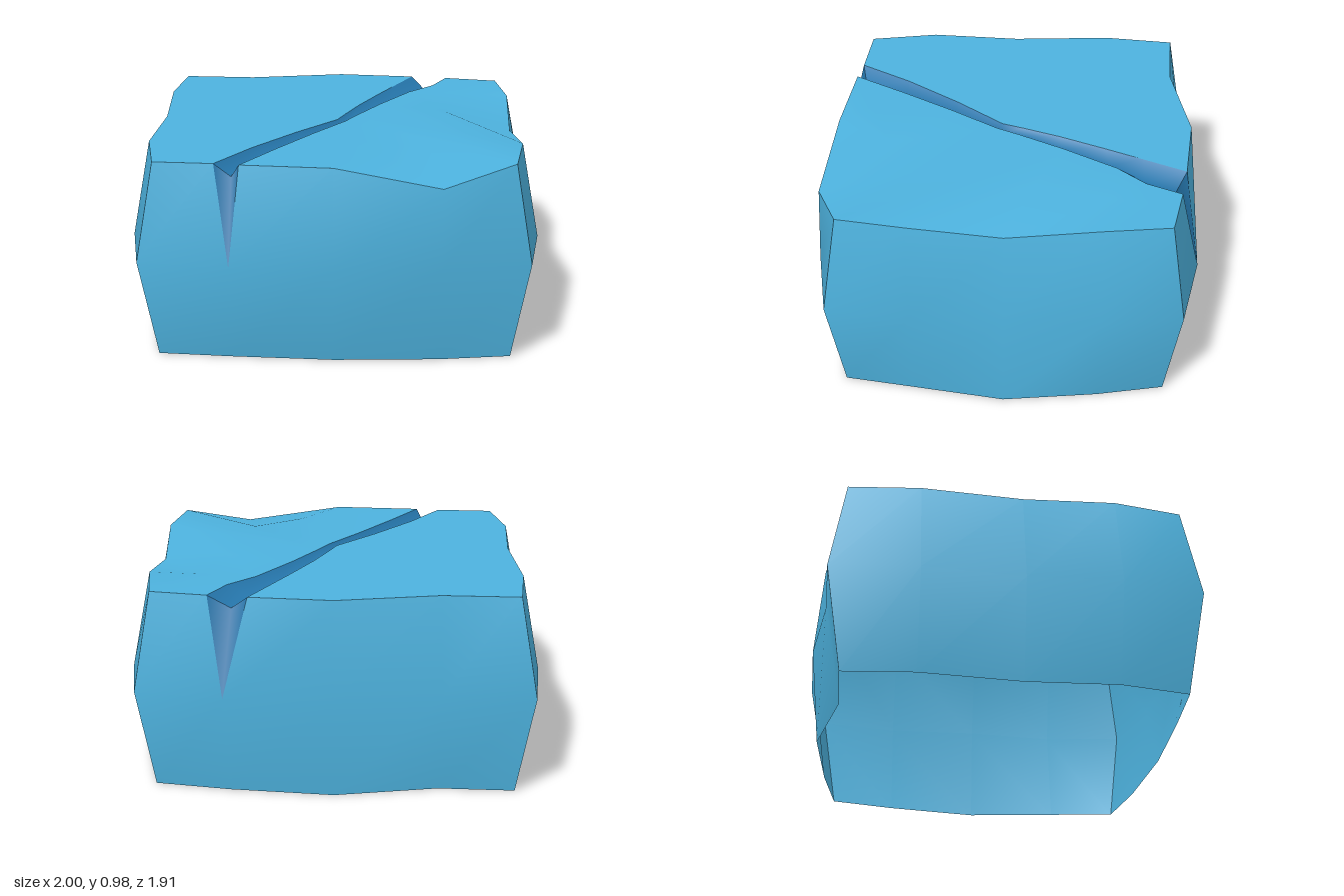
import * as THREE from 'three';
import { mergeVertices, mergeGeometries } from 'three/addons/utils/BufferGeometryUtils.js';

const TOP = 0.975, MID = 0.5;

// Surface through rows of [x, y, z] points
function grid(rows) {
  const n = rows[0].length, index = [];
  for (let r = 0; r < rows.length - 1; r++) {
    for (let c = 0; c < n - 1; c++) {
      const a = r * n + c, b = a + 1, d = a + n, e = d + 1;
      index.push(a, d, b, b, d, e);
    }
  }
  const g = new THREE.BufferGeometry();
  g.setAttribute('position', new THREE.Float32BufferAttribute(rows.flat(2), 3));
  g.setIndex(index);
  return g;
}

function smooth(...geometries) {
  const g = mergeVertices(mergeGeometries(geometries), 1e-4);
  g.computeVertexNormals();
  return g;
}

// One wall column: top, bulging middle and bottom point
function col(tx, tz, mx, mz, ty = TOP, bx = tx, bz = tz) {
  return { top: [tx, ty, tz], mid: [mx, MID, mz], bottom: [bx, 0, bz] };
}
const wall = (cols) => grid(['top', 'mid', 'bottom'].map((k) => cols.map((c) => c[k])));
const mix = (a, b, t) => a.map((v, i) => v + (b[i] - v) * t);

export function createModel() {
  const group = new THREE.Group();
  const stone = new THREE.MeshStandardMaterial({ color: 0x4db2de, side: THREE.DoubleSide });
  stone.name = 'light blue stone';
  const crackBlue = new THREE.MeshStandardMaterial({ color: 0x2677ad, side: THREE.DoubleSide });
  crackBlue.name = 'dark blue crack';
  const add = (name, geometry, material) => {
    const mesh = new THREE.Mesh(geometry, material);
    mesh.name = name;
    group.add(mesh);
  };

  // Wall columns, running counterclockwise seen from above
  const frontLeft = col(-0.85, 0.79, -0.93, 0.865);
  const frontRight = col(0.855, 0.785, 0.935, 0.855);
  const backRight = col(0.865, -0.785, 0.945, -0.855);
  const backLeft = col(-0.87, -0.85, -0.95, -0.93);
  const frontLips = [-0.56, -0.44].map((x, i) => col(x, 0.81 + i * 0.02, -0.49, 0.93, TOP, -0.5, 0.82));
  const backLips = [0.59, 0.4].map((x, i) => col(x, -0.84 - i * 0.03, 0.52, -0.945, TOP, 0.5, -0.855));
  const front = [col(0, 0.87, 0, 0.955, TOP, 0, 0.85), col(0.51, 0.91, 0.51, 0.93, 0.89, 0.51, 0.83)];
  const right = [
    col(0.91, 0.45, 1, 0.45),
    col(0.885, 0, 0.975, 0, 0.91, 0.985, 0),
    col(0.905, -0.46, 1, -0.46, TOP, 0.93, -0.46),
  ];
  const back = [col(0, -0.915, 0, -0.96), col(-0.5, -0.83, -0.51, -0.915)];
  const left = [col(-0.91, -0.5, -1, -0.5), col(-0.88, 0, -0.97, 0), col(-0.91, 0.45, -1, 0.46)];

  // Four walls, open below; front and back are split by the crack
  add('frontWall', smooth(wall([frontLeft, frontLips[0]]), wall([frontLips[1], ...front, frontRight])), stone);
  add('rightWall', smooth(wall([frontRight, ...right, backRight])), stone);
  add('backWall', smooth(wall([backRight, backLips[0]]), wall([backLips[1], ...back, backLeft])), stone);
  add('leftWall', smooth(wall([backLeft, ...left, frontLeft])), stone);

  // Lips of the crack across the top, front to back
  const flat = ([x, z]) => [x, TOP, z];
  const lipA = [[-0.56, 0.81], [-0.4, 0.55], [-0.2, 0.28], [0, 0.04], [0.04, -0.07],
    [0.11, -0.25], [0.21, -0.47], [0.3, -0.66], [0.4, -0.87]].map(flat);
  const lipB = [[-0.44, 0.83], [-0.28, 0.56], [-0.11, 0.29], [0.04, 0.07], [0.1, -0.05],
    [0.22, -0.27], [0.38, -0.53], [0.51, -0.67], [0.59, -0.84]].map(flat);

  // Top slabs on both sides of the crack
  const slab = (name, lip, cols, lipFirst) => {
    const outer = cols.map((c) => c.top);
    const middle = lip.map((p, i) => {
      const m = mix(p, outer[i], 0.5);
      m[1] = TOP;
      return m;
    });
    const rows = [lip, middle, outer];
    add(name, smooth(grid(lipFirst ? rows : rows.reverse())), stone);
  };
  slab('rightTop', lipB, [frontLips[1], ...front, frontRight, ...right, backRight, backLips[0]], true);
  slab('leftTop', lipA, [frontLips[0], frontLeft, ...left.slice().reverse(), backLeft,
    ...back.slice().reverse(), backLips[1]], false);

  // V-shaped crack, shallowest in the middle
  const floor = lipA.map((p, i) => {
    const m = mix(p, lipB[i], 0.5);
    m[1] = TOP - 0.03 - 0.01 * Math.abs(i - 4);
    return m;
  });
  floor[0] = [-0.48, 0.905, 0.79];
  floor[8] = [0.48, 0.905, -0.815];
  add('topCrack', smooth(grid([lipA, floor, lipB])), crackBlue);

  // Tapering notches where the crack runs down the front and back walls
  const notch = (a, f, b, tip) => smooth(grid([[a, f, b], [tip, tip, tip]]));
  add('frontNotch', notch(lipA[0], floor[0], lipB[0], frontLips[0].mid), crackBlue);
  add('backNotch', notch(lipB[8], floor[8], lipA[8], backLips[0].mid), crackBlue);

  return group;
}
